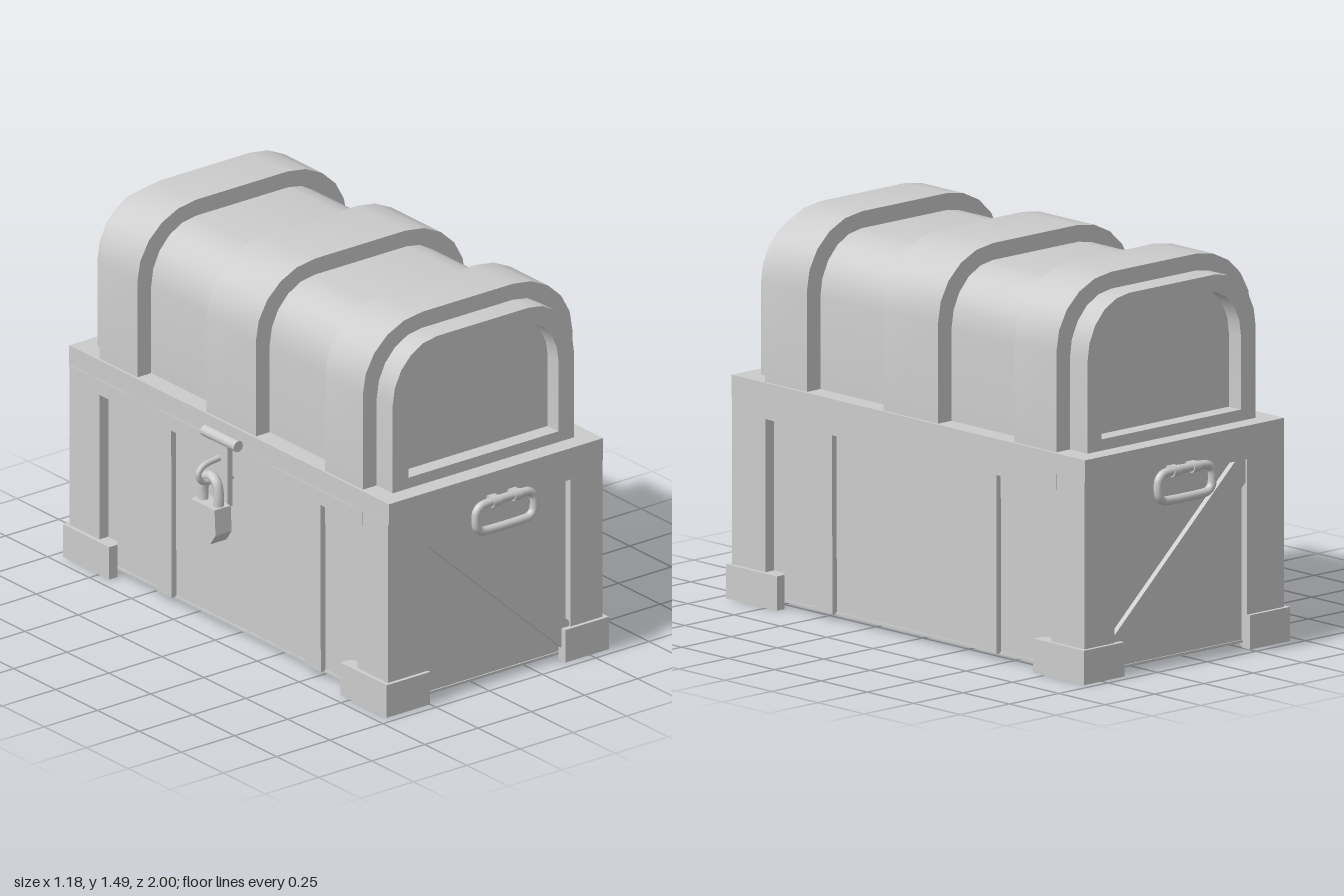
import * as THREE from 'three';
import { toCreasedNormals } from 'three/addons/utils/BufferGeometryUtils.js';

const material = new THREE.MeshStandardMaterial({ color: 0xcccccc });
const CX = 0.0675; // middle of the chest in x; the lock sticks out on -x

export function createModel() {
  const root = new THREE.Group();
  root.name = 'chest';

  const add = (name, geometry, parent = root) => {
    const mesh = new THREE.Mesh(geometry, material);
    mesh.name = name;
    parent.add(mesh);
    return mesh;
  };

  // Box given by its limits
  const box = (name, x0, x1, y0, y1, z0, z1, parent) => {
    const g = new THREE.BoxGeometry(x1 - x0, y1 - y0, z1 - z0);
    g.translate((x0 + x1) / 2, (y0 + y1) / 2, (z0 + z1) / 2);
    return add(name, g, parent);
  };

  // Shape extruded along z between two limits
  const extrude = (shape, z0, z1) => {
    const g = new THREE.ExtrudeGeometry(shape, { depth: z1 - z0, bevelEnabled: false });
    g.translate(0, 0, z0);
    return toCreasedNormals(g, 0.6);
  };

  // Arch outline: straight sides with elliptical shoulders and a flat top
  const arch = (x0, x1, y0, top, rx, ry, n = 5) => {
    const points = [new THREE.Vector2(x0, y0), new THREE.Vector2(x1, y0)];
    for (let side = 0; side < 2; side++) {
      for (let i = 0; i <= n; i++) {
        const a = ((side + i / n) * Math.PI) / 2;
        const centre = side ? x0 + rx : x1 - rx;
        points.push(new THREE.Vector2(centre + rx * Math.cos(a), top - ry + ry * Math.sin(a)));
      }
    }
    return points;
  };

  // Body: recessed panels, rails and rim
  box('bodyPanels', -0.395, 0.53, 0.02, 0.8, -0.92, 0.92);
  box('bottomBoard', -0.4, 0.535, 0.02, 0.03, -0.925, 0.925);
  box('rim', -0.435, 0.572, 0.76, 0.847, -0.953, 0.953);
  for (const s of [-1, 1]) {
    const sideX = CX + s * 0.505;
    const innerX = CX + s * 0.44;
    box('sideRail', Math.min(sideX, innerX), Math.max(sideX, innerX), 0.71, 0.77, -0.8, 0.8);
    const z0 = s > 0 ? 0.9 : -0.95;
    box('endRail', -0.3, 0.45, 0.72, 0.77, z0, z0 + 0.05);
  }

  // Corner posts and feet
  for (const sx of [-1, 1]) {
    for (const sz of [-1, 1]) {
      const z0 = sz > 0 ? 0.77 : -0.95;
      if (sx < 0) box('cornerPost', -0.437, -0.25, 0.02, 0.77, z0, z0 + 0.18);
      else box('cornerPost', 0.42, 0.572, 0.02, 0.77, z0, z0 + 0.18);

      const outline = [[0, 0], [0.205, 0], [0.205, 0.04], [0.04, 0.275], [0, 0.275]].map(
        ([x, z]) => new THREE.Vector2(CX + sx * (0.5225 - x), sz * (0.965 - z)));
      const foot = extrude(new THREE.Shape(outline), 0, 0.13);
      foot.rotateX(Math.PI / 2);
      foot.translate(0, 0.13, 0);
      add('foot', foot);
    }
  }

  // Slightly tapering slats on the long sides
  for (const sx of [-1, 1]) {
    for (const [a, b] of [[0.43, 0.525], [-0.455, -0.365]]) {
      const slat = new THREE.BoxGeometry(0.03, 0.68, b - a);
      const p = slat.attributes.position;
      for (let i = 0; i < p.count; i++) if (p.getY(i) > 0) p.setZ(i, p.getZ(i) * 0.95);
      slat.translate(CX + sx * 0.47, 0.365, (a + b) / 2);
      add('sideSlat', slat);
    }
  }

  // Diagonal braces on both ends
  const brace = new THREE.Shape([[-0.25, 0.72], [-0.25, 0.63], [0.42, 0.02], [0.42, 0.15], [-0.2, 0.72]]
    .map(([x, y]) => new THREE.Vector2(x, y)));
  add('frontBrace', extrude(brace, 0.91, 0.942));
  add('backBrace', extrude(brace, -0.942, -0.91));

  // Lid: shell open at both ends with a recessed core
  const lid = new THREE.Group();
  lid.name = 'lid';
  root.add(lid);
  const recess = arch(-0.285, 0.42, 0.89, 1.362, 0.17, 0.19);
  const shell = new THREE.Shape(arch(-0.36, 0.492, 0.84, 1.423, 0.21, 0.23));
  shell.holes.push(new THREE.Path(recess));
  add('lidShell', extrude(shell, -0.88, 0.88), lid);
  add('lidEndPanels', extrude(new THREE.Shape(recess), -0.815, 0.815), lid);
  const band = new THREE.Shape(arch(-0.425, 0.56, 0.84, 1.487, 0.28, 0.26));
  for (const [a, b] of [[-0.785, -0.56], [-0.147, 0.147], [0.56, 0.785]]) {
    add('lidBand', extrude(band, a, b), lid);
  }

  // End handles: rounded loop held by two clips
  const hx = 0.155 - 0.018, hy = 0.07 - 0.017, hr = 0.04;
  const loop = [];
  for (let q = 0; q < 4; q++) {
    const cx = (q === 0 || q === 3 ? 1 : -1) * (hx - hr);
    const cy = (q < 2 ? 1 : -1) * (hy - hr);
    for (let i = 0; i <= 4; i++) {
      const a = ((q + i / 4) * Math.PI) / 2;
      loop.push(new THREE.Vector3(cx + hr * Math.cos(a), cy + hr * Math.sin(a), 0));
    }
  }
  const loopCurve = new THREE.CatmullRomCurve3(loop, true);
  for (const s of [-1, 1]) {
    const handle = new THREE.Group();
    handle.name = s > 0 ? 'frontHandle' : 'backHandle';
    handle.position.set(0.09, 0.69, s * 0.979);
    root.add(handle);
    add('handleLoop', new THREE.TubeGeometry(loopCurve, 80, 0.017, 10, true), handle);
    for (const x of [-0.047, 0.052]) {
      const clip = new THREE.CylinderGeometry(0.021, 0.021, 0.035, 12);
      clip.rotateZ(Math.PI / 2);
      clip.translate(x, hy, 0);
      add('handleClip', clip, handle);
      box('clipMount', x - 0.0175, x + 0.0175, hy - 0.018, hy + 0.018,
        Math.min(0, -s * 0.04), Math.max(0, -s * 0.04), handle);
    }
  }

  // Hasp with hinge pin and staple
  const lock = new THREE.Group();
  lock.name = 'lock';
  root.add(lock);
  box('haspPlate', -0.482, -0.458, 0.545, 0.8, -0.05, 0.05, lock);
  const pin = new THREE.CylinderGeometry(0.022, 0.022, 0.2, 12);
  pin.rotateX(Math.PI / 2);
  pin.translate(-0.47, 0.802, 0);
  add('hingePin', pin, lock);
  const vec = (points) => points.map((p) => new THREE.Vector3(...p));
  const staple = new THREE.CatmullRomCurve3(vec([[-0.42, 0.727, 0], [-0.5, 0.725, 0], [-0.56, 0.712, 0],
    [-0.58, 0.685, 0], [-0.565, 0.655, 0], [-0.51, 0.642, 0], [-0.42, 0.637, 0]]));
  add('staple', new THREE.TubeGeometry(staple, 32, 0.012, 8), lock);

  // Padlock: chamfered body and shackle
  const padlock = new THREE.Shape([[-0.072, 0.56], [-0.078, 0.46], [-0.045, 0.415], [0.045, 0.415],
    [0.078, 0.46], [0.072, 0.56]].map(([z, y]) => new THREE.Vector2(z, y)));
  const padlockBody = extrude(padlock, -0.038, 0.038);
  padlockBody.rotateY(Math.PI / 2);
  padlockBody.translate(-0.522, 0, 0);
  add('padlockBody', padlockBody, lock);
  const shackle = new THREE.CatmullRomCurve3(vec([[-0.52, 0.54, -0.045], [-0.52, 0.61, -0.045],
    [-0.52, 0.65, -0.032], [-0.52, 0.665, 0], [-0.52, 0.65, 0.032], [-0.52, 0.61, 0.045], [-0.52, 0.54, 0.045]]));
  add('shackle', new THREE.TubeGeometry(shackle, 32, 0.02, 10), lock);

  return root;
}
